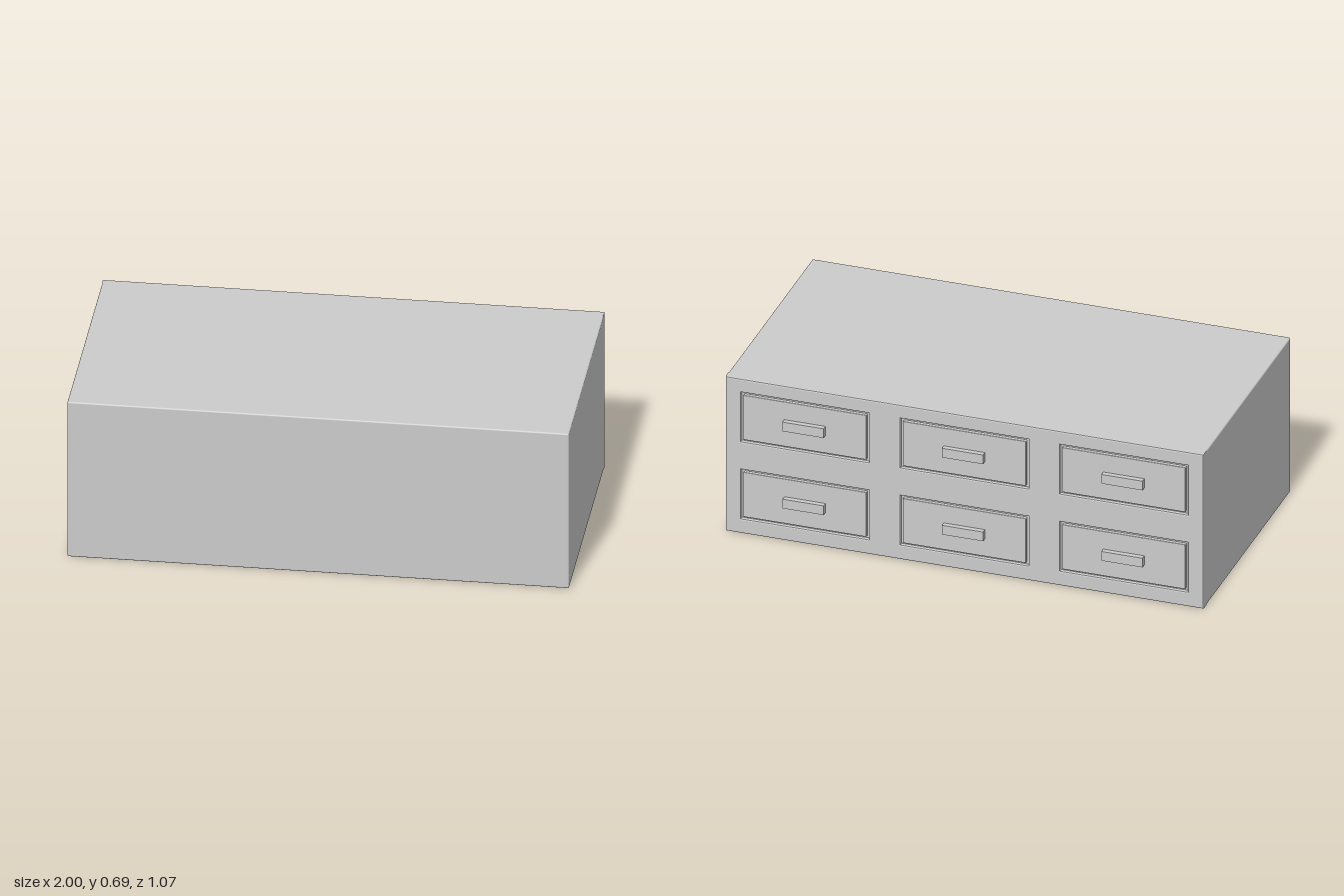
import * as THREE from 'three';
import { RoundedBoxGeometry } from 'three/addons/geometries/RoundedBoxGeometry.js';

const W = 2, H = 0.69, FRONT = 0.535, BACK = -0.512;
const GROOVE_FLOOR = -0.497, EDGE = 0.006;
const COLUMNS = [-0.667, 0, 0.667], ROWS = [0.175, 0.52];
const DRAWER_W = 0.515, DRAWER_H = 0.2, GAP = 0.01;

// Traces a rectangle centred on (cx, cy)
function rectangle(path, cx, cy, w, h) {
  path.moveTo(cx - w / 2, cy - h / 2);
  path.lineTo(cx + w / 2, cy - h / 2);
  path.lineTo(cx + w / 2, cy + h / 2);
  path.lineTo(cx - w / 2, cy + h / 2);
  path.closePath();
  return path;
}

export function createModel() {
  const model = new THREE.Group();
  model.name = 'drawerCabinet';
  const material = new THREE.MeshStandardMaterial({ color: 0xcccccc });

  const add = (name, geometry, x, y, z, parent = model) => {
    const mesh = new THREE.Mesh(geometry, material);
    mesh.name = name;
    mesh.position.set(x, y, z);
    parent.add(mesh);
    return mesh;
  };

  // Solid carcass with softly rounded edges
  const depth = FRONT - GROOVE_FLOOR;
  add('carcass', new RoundedBoxGeometry(W, H, depth, 3, EDGE), 0, H / 2, (FRONT + GROOVE_FLOOR) / 2);

  // Drawer-side frame, pierced by one opening per drawer
  const frame = rectangle(new THREE.Shape(), 0, H / 2, W - 2 * EDGE, H - 2 * EDGE);
  for (const x of COLUMNS) for (const y of ROWS) {
    const grow = 2 * (GAP + EDGE);
    frame.holes.push(rectangle(new THREE.Path(), x, y, DRAWER_W + grow, DRAWER_H + grow));
  }
  const frameGeometry = new THREE.ExtrudeGeometry(frame, {
    depth: 0.03, bevelEnabled: true, bevelSize: EDGE, bevelThickness: EDGE, bevelSegments: 2,
  });
  add('drawerFrame', frameGeometry, 0, 0, BACK + EDGE);

  // Flush drawer fronts with block handles
  const panel = new RoundedBoxGeometry(DRAWER_W, DRAWER_H, 0.04, 2, 0.003);
  const handle = new THREE.BoxGeometry(0.172, 0.041, 0.032);
  for (const x of COLUMNS) for (const y of ROWS) {
    const drawer = new THREE.Group();
    drawer.name = 'drawer';
    drawer.position.set(x, y, BACK);
    add('drawerFront', panel, 0, 0, 0.02, drawer);
    add('handle', handle, 0, 0, -0.006, drawer);
    model.add(drawer);
  }
  return model;
}
